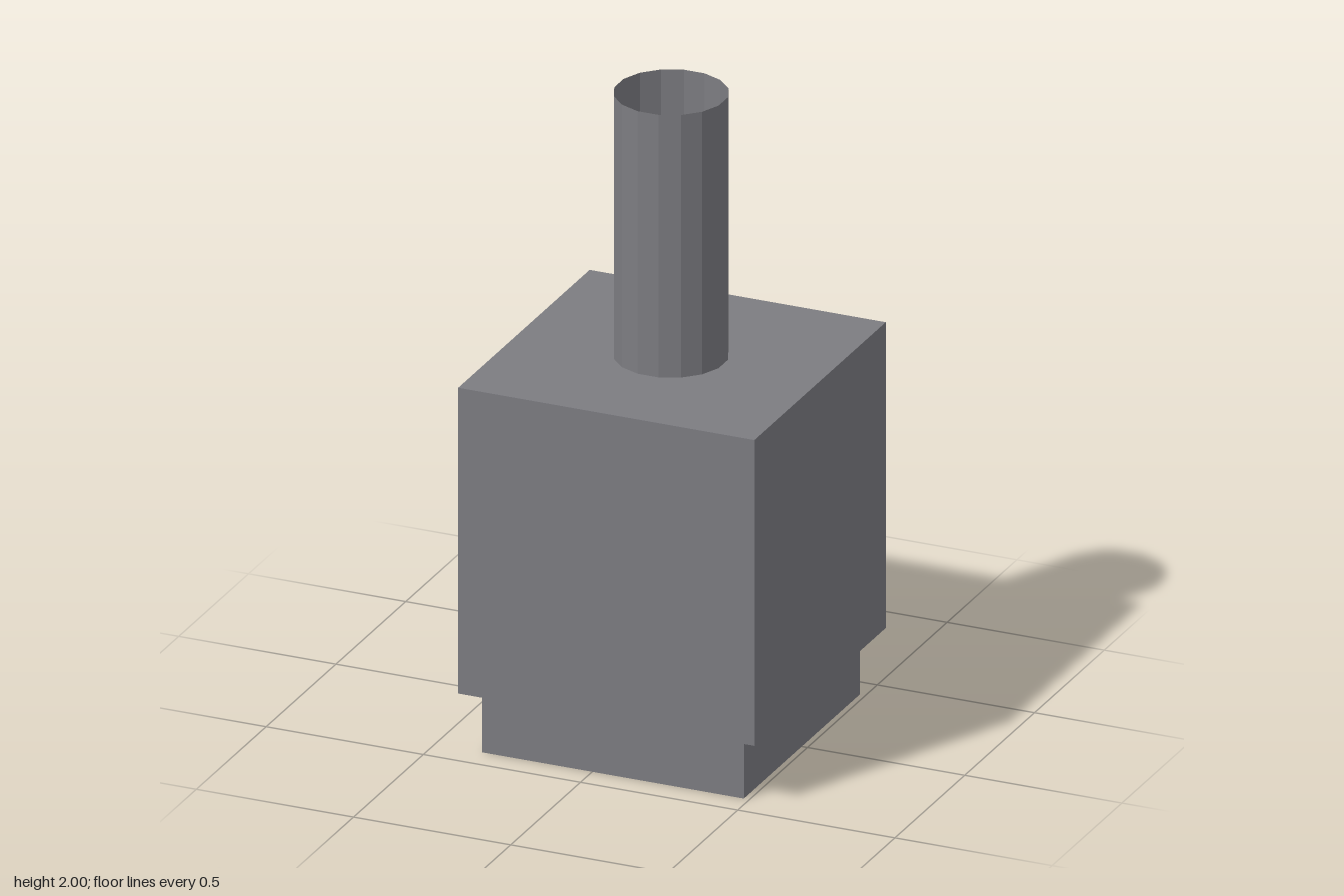
import * as THREE from 'three';

export function createModel() {
  const group = new THREE.Group();
  const grey = new THREE.MeshStandardMaterial({ color: 0x7c7c81, flatShading: true });
  grey.name = 'grey metal';
  grey.side = THREE.DoubleSide; // the flue is an open, thin tube
  const axisX = 0.069;

  const add = (name, geometry, x, y) => {
    const mesh = new THREE.Mesh(geometry, grey);
    mesh.name = name;
    mesh.position.set(x, y, 0);
    group.add(mesh);
    return mesh;
  };
  const box = (name, x, y0, y1, width, depth) =>
    add(name, new THREE.BoxGeometry(width, y1 - y0, depth), x, (y0 + y1) / 2);

  // Recessed base, main body and the small side outlet
  box('base', axisX - 0.003, 0, 0.199, 0.832, 0.832);
  box('body', axisX, 0.199, 1.168, 0.942, 0.942);
  box('sideOutlet', -0.472, 0.336, 0.477, 0.142, 0.166);

  // Sixteen-sided open flue, facets centred on the axes
  const flue = new THREE.CylinderGeometry(0.169, 0.169, 0.832, 16, 1, true);
  add('flue', flue, axisX - 0.003, 1.584).rotation.y = Math.PI / 16;

  return group;
}
